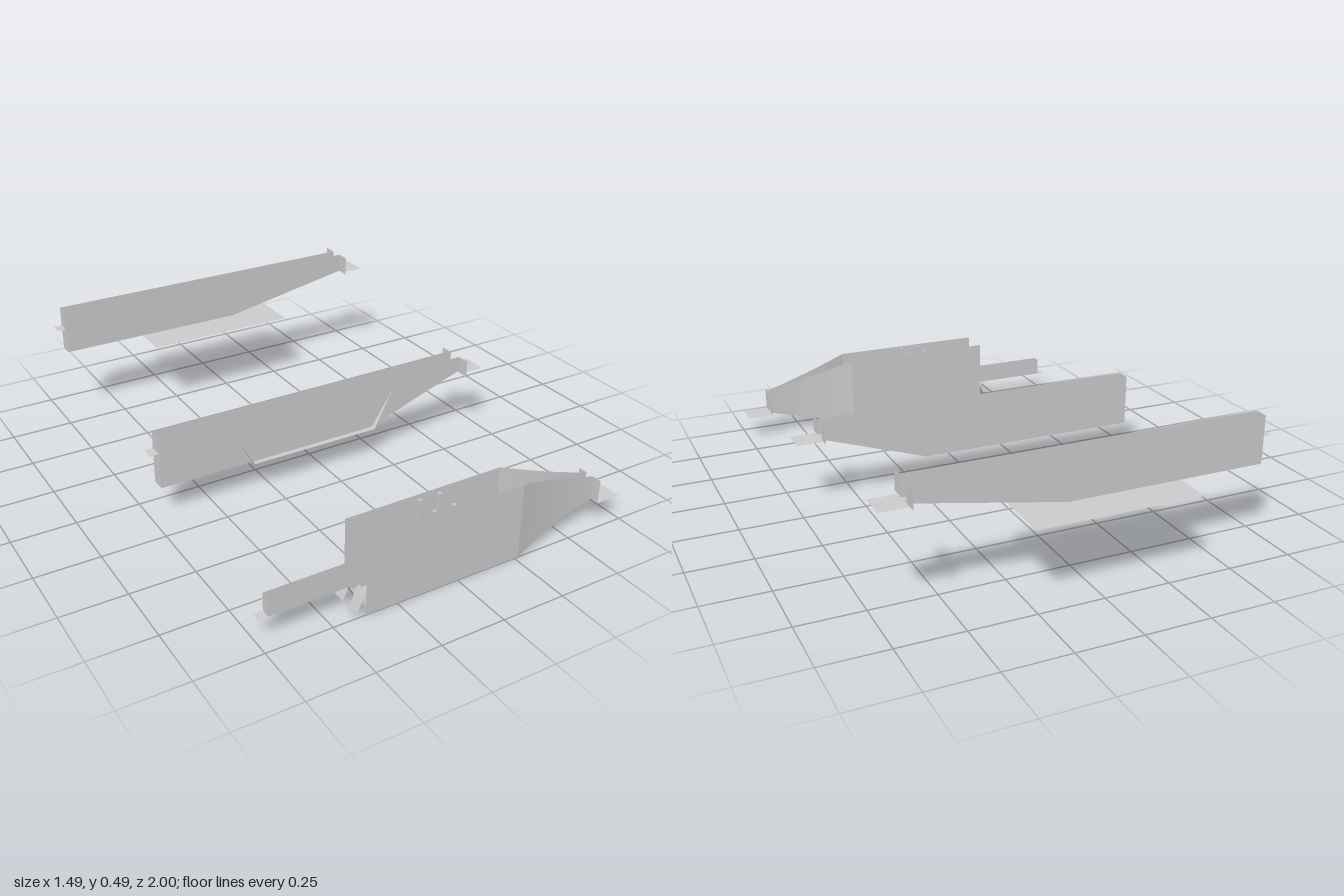
import * as THREE from 'three';

const mat = new THREE.MeshStandardMaterial({ color: 0xcccccc, side: THREE.DoubleSide });

// Thin sheet lofted between pairs of points: rows = [[x,y,z],[x,y,z]]
function sheet(name, rows) {
  const g = new THREE.BufferGeometry();
  const pos = rows.flat(2), idx = [];
  for (let i = 0; i < rows.length - 1; i++) {
    const a = 2 * i;
    idx.push(a, a + 1, a + 2, a + 1, a + 3, a + 2);
  }
  g.setAttribute('position', new THREE.Float32BufferAttribute(pos, 3));
  g.setIndex(idx);
  g.computeVertexNormals();
  const m = new THREE.Mesh(g, mat);
  m.name = name;
  return m;
}

// Floor ribbon along x: points = [x, y, zMin, zMax]
const ribbon = (name, pts) => sheet(name, pts.map(([x, y, a, b]) => [[x, y, b], [x, y, a]]));

// Upright wall: points = [x, yLow, yHigh, z]
const wall = (name, pts) => sheet(name, pts.map(([x, lo, hi, z]) => [[x, lo, z], [x, hi, z]]));

// Upright plate facing along x
const endPlate = (name, x, y0, y1, z0, z1) => sheet(name, [[[x, y0, z0], [x, y1, z0]], [[x, y0, z1], [x, y1, z1]]]);

// Eased ramp between two floor points
function ramp(a, b, ease, n = 8) {
  const out = [];
  for (let i = 0; i <= n; i++) {
    const t = i / n, e = ease(t);
    out.push([a[0] + (b[0] - a[0]) * t, ...[1, 2, 3].map(k => a[k] + (b[k] - a[k]) * e)]);
  }
  return out;
}

// Side flanges and square tongue at the +x end
function mouth(z0, z1, y0, y1, spread) {
  const g = new THREE.Group(), c = (z0 + z1) / 2;
  g.name = 'mouth';
  g.add(
    endPlate('flangeBack', 0.64, y0, y1, c - spread, z0),
    endPlate('flangeFront', 0.64, y0, y1, z1, c + spread),
    ribbon('tongue', [[0.64, y0, c - 0.053, c + 0.053], [0.745, y0, c - 0.053, c + 0.053]])
  );
  return g;
}

// Tall straight channel with a bottom edge that rises towards +x
function channel(name, z0, z1, low, lip, top, kink, floorPts) {
  const g = new THREE.Group();
  g.name = name;
  for (const [n, z] of [['backWall', z0], ['frontWall', z1]])
    g.add(wall(n, [[-0.71, low, top, z], [kink, low, top, z], [0.64, lip, top, z]]));
  g.add(
    endPlate('endWall', -0.71, low, top, z0, z1),
    ribbon('floor', floorPts),
    mouth(z0, z1, lip, top, 0.084)
  );
  return g;
}

function backChannel() {
  const a = -0.855, b = -0.803;
  const g = channel('backChannel', a, b, 0.305, 0.41, 0.49, 0.07, [
    [-0.745, 0.41, a, b],
    ...ramp([-0.37, 0.41, a, b], [-0.17, 0.307, a, b], t => t * t),
    [0.07, 0.307, a, b], [0.64, 0.41, a, b]
  ]);
  g.add(ribbon('basePlate', [[-0.37, 0.305, -1, -0.655], [0.26, 0.305, -1, -0.655]]));
  return g;
}

function middleChannel() {
  const a = 0.08, b = 0.135, w = 0.157;
  return channel('middleChannel', a, b, 0.13, 0.275, 0.34, 0.21, [
    [-0.745, 0.275, a, b],
    ...ramp([-0.42, 0.275, a, b], [-0.33, 0.13, a, w], t => t),
    ...ramp([0.215, 0.13, a, w], [0.31, 0.275, a, b], t => t),
    [0.64, 0.275, a, b]
  ]);
}

function frontTrough() {
  const g = new THREE.Group(), c = 0.933, w = 0.067, n = 0.0175;
  g.name = 'frontTrough';
  for (const s of [-1, 1]) {
    const side = s < 0 ? 'back' : 'front';
    g.add(wall(side + 'BodyWall', [[-0.375, 0, 0.3, c + s * w], [0.265, 0, 0.3, c + s * w]]));
    // Nose wall curving inwards to the mouth
    const nose = [];
    for (let i = 0; i <= 14; i++) {
      const t = i / 14;
      nose.push([0.265 + 0.375 * t, 0.095 * t, 0.3 - 0.11 * t, c + s * (n + (w - n) * (1 - t) ** 2)]);
    }
    g.add(wall(side + 'NoseWall', nose));
    g.add(wall(side + 'TailWall', [[-0.71, 0.095, 0.165, c + s * n], [-0.375, 0.095, 0.165, c + s * n]]));
    // Sloping skirt beside the tail
    g.add(sheet(side + 'Skirt', [
      [[-0.41, 0.015, c + s * n], [-0.375, 0.095, c + s * n]],
      [[-0.41, 0.015, c + s * w], [-0.375, 0.095, c + s * w]]
    ]));
    // Corner posts inside the body
    for (const x of [-0.095, -0.015]) {
      const post = new THREE.Mesh(new THREE.BoxGeometry(0.012, 0.298, 0.012), mat);
      post.name = 'cornerPost';
      post.position.set(x, 0.149, c + s * 0.04);
      g.add(post);
    }
  }
  g.add(
    ribbon('bodyFloor', [[-0.375, 0.03, c - w, c + w], [-0.34, 0.008, c - w, c + w],
      [-0.3, 0, c - w, c + w], [0.265, 0, c - w, c + w]]),
    ribbon('tailFloor', [[-0.745, 0.095, c - n, c + n], [-0.41, 0.095, c - n, c + n], [-0.375, 0.03, c - n, c + n]]),
    ribbon('noseFloor', [...ramp([0.24, 0.005, c - 0.01, c + 0.01], [0.265, 0.04, c - 0.04, c + 0.04], t => t, 3),
      [0.285, 0.075, c - 0.025, c + 0.025], [0.31, 0.095, c - n, c + n], [0.64, 0.095, c - n, c + n]]),
    endPlate('tailEndWall', -0.71, 0.095, 0.165, c - n, c + n),
    mouth(c - n, c + n, 0.095, 0.19, 0.055)
  );
  return g;
}

export function createModel() {
  const model = new THREE.Group();
  model.name = 'channelSet';
  model.add(backChannel(), middleChannel(), frontTrough());
  return model;
}
